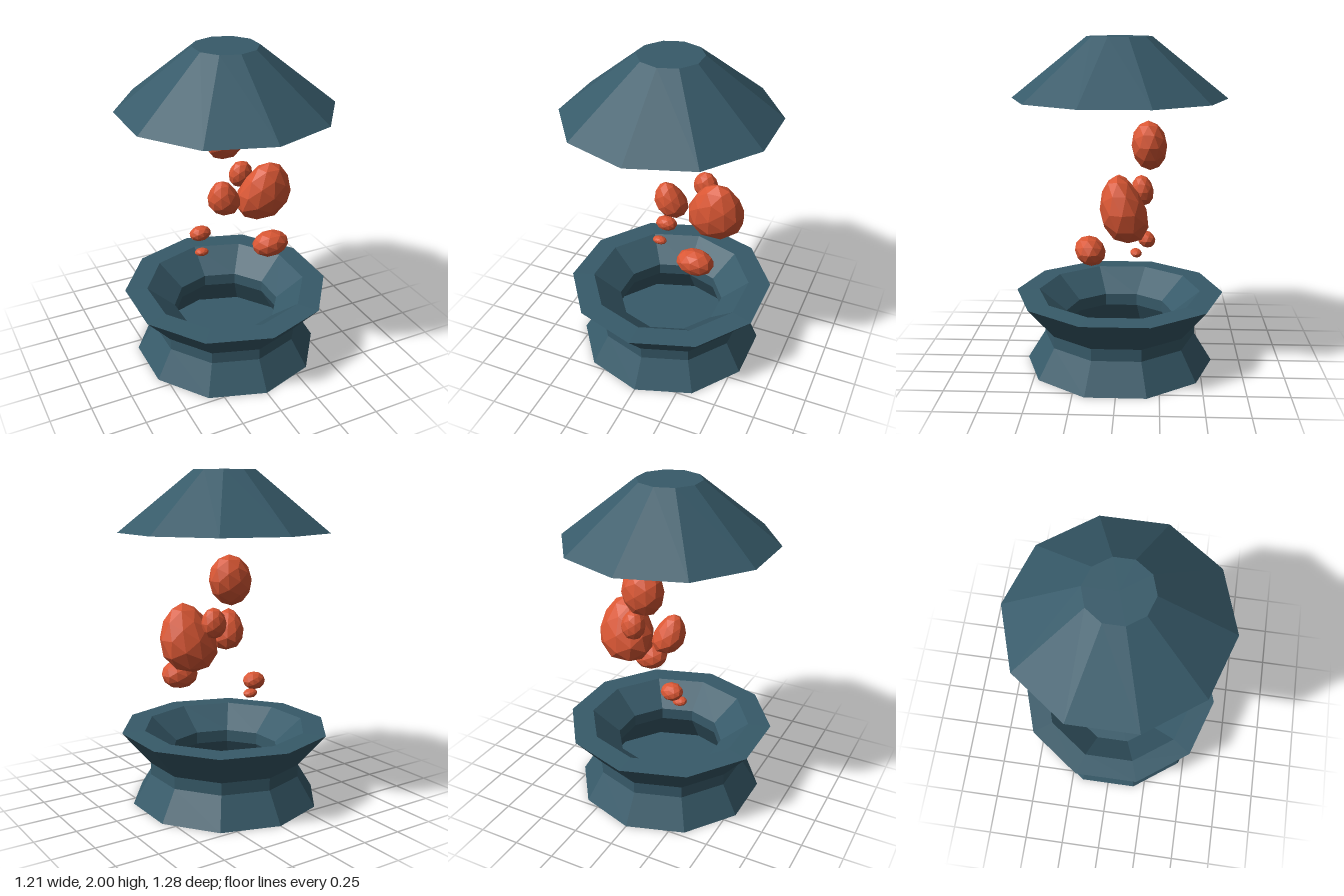
import * as THREE from 'three';

const shellPaint = new THREE.MeshStandardMaterial({ name: 'slateTeal', color: 0x375a69, flatShading: true });
const waxPaint = new THREE.MeshStandardMaterial({ name: 'orangeWax', color: 0xda5734, flatShading: true });

// Separate the faces so that every facet gets its own normal
function faceted(geometry) {
  const flat = geometry.index ? geometry.toNonIndexed() : geometry;
  flat.computeVertexNormals();
  return flat;
}

// Ten-sided turned shell from [radius, height] pairs
function turned(name, profile) {
  const points = profile.map(([r, y]) => new THREE.Vector2(r, y));
  const mesh = new THREE.Mesh(faceted(new THREE.LatheGeometry(points, 10)), shellPaint);
  mesh.name = name;
  return mesh;
}

// Faceted wax drop: centre, half sizes, lean in x and z with height, taper towards the top
function waxBlob(name, [cx, cy, cz], [rx, ry, rz], leanX, leanZ, taper) {
  const geometry = new THREE.IcosahedronGeometry(1, 1);
  const p = geometry.attributes.position;
  for (let i = 0; i < p.count; i++) {
    const x = p.getX(i), y = p.getY(i), z = p.getZ(i);
    const width = 1 - taper * y;
    p.setXYZ(i, x * rx * width + leanX * y, y * ry, z * rz * width + leanZ * y);
  }
  const mesh = new THREE.Mesh(faceted(geometry), waxPaint);
  mesh.name = name;
  mesh.position.set(cx, cy, cz);
  return mesh;
}

export function createModel() {
  const model = new THREE.Group();
  model.name = 'waxLamp';

  // Hollow waisted base with a flat rim
  model.add(turned('base', [
    [0, 0], [0.577, 0], [0.468, 0.178], [0.468, 0.252], [0.638, 0.451],
    [0.499, 0.455], [0.33, 0.315], [0.33, 0.24], [0.437, 0.055], [0, 0.055],
  ]));

  // Hollow conical cap, open underneath
  model.add(turned('cap', [
    [0, 1.975], [0.16, 1.975], [0.497, 1.643], [0.638, 1.643], [0.19, 2], [0, 2],
  ]));

  // Floating wax
  const wax = new THREE.Group();
  wax.name = 'wax';
  const blobs = [
    ['topBlob', [0.081, 1.376, -0.179], [0.131, 0.147, 0.104], 0.005, 0.007, 0],
    ['sideBlob', [-0.008, 1.058, -0.015], [0.099, 0.122, 0.095], -0.022, 0.02, 0.25],
    ['smallBlob', [0.17, 1.128, -0.142], [0.077, 0.09, 0.064], 0, 0.008, 0.05],
    ['largeBlob', [0.28, 1.038, -0.033], [0.174, 0.202, 0.134], 0.015, 0.035, 0.22],
    ['lowBlob', [0.225, 0.775, 0.161], [0.117, 0.087, 0.09], 0, 0.012, 0],
    ['lowDroplet', [-0.1, 0.757, -0.165], [0.071, 0.052, 0.055], 0, 0.008, 0],
    ['tinyDroplet', [-0.12, 0.661, -0.1], [0.046, 0.027, 0.036], -0.005, 0.005, 0],
  ];
  for (const blob of blobs) wax.add(waxBlob(...blob));
  model.add(wax);

  return model;
}
